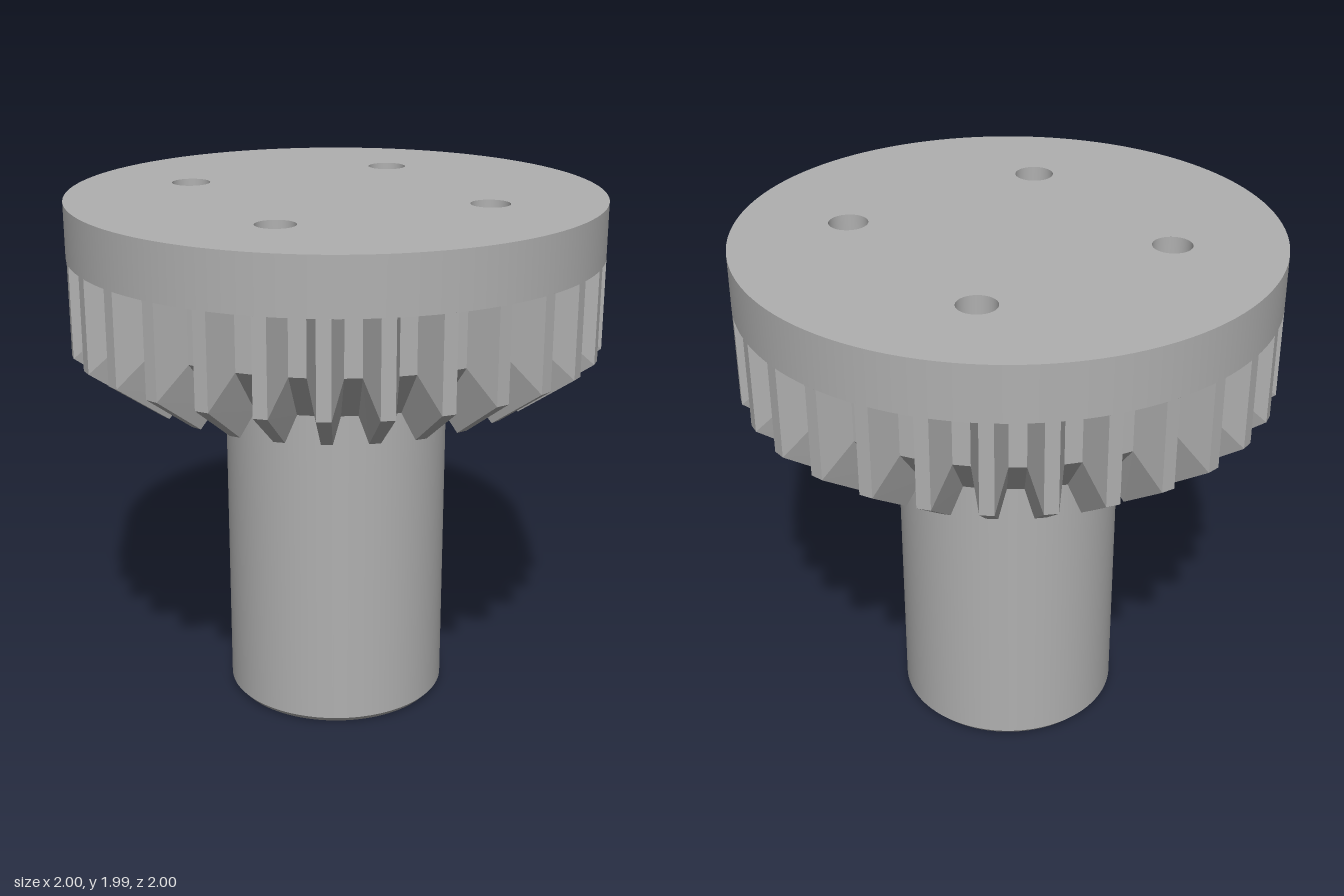
import * as THREE from 'three';

const TAU = Math.PI * 2;
const steel = new THREE.MeshStandardMaterial({ color: 0xb0b0b0, side: THREE.DoubleSide });
steel.name = 'steel grey';

function add(group, name, geometry) {
  const mesh = new THREE.Mesh(geometry, steel);
  mesh.name = name;
  group.add(mesh);
  return mesh;
}

// Open round wall from (rTop, yTop) down to (rBottom, yBottom)
function wall(rTop, yTop, rBottom, yBottom, x = 0, z = 0, segments = 120) {
  return new THREE.CylinderGeometry(rTop, rBottom, yTop - yBottom, segments, 1, true)
    .translate(x, (yTop + yBottom) / 2, z);
}

// Flat round face at height y with round holes [x, z, r]
function face(radius, y, holes, up, cx = 0, cz = 0) {
  const s = up ? -1 : 1;
  const shape = new THREE.Shape().absarc(cx, s * cz, radius, 0, TAU);
  for (const [x, z, r] of holes) {
    shape.holes.push(new THREE.Path().absarc(x, s * z, r, 0, TAU, true));
  }
  return new THREE.ShapeGeometry(shape, 60).rotateX((s * Math.PI) / 2).translate(0, y, 0);
}

// Four positions spread evenly on a circle
function fourAround(radius, turn = 0) {
  return [0, 1, 2, 3].map((i) => {
    const a = turn + (i * Math.PI) / 2;
    return [radius * Math.cos(a), radius * Math.sin(a)];
  });
}

// Bevel teeth: tip and root profiles as [radius, y, half angle of tooth]
function toothRing(count) {
  const tip = [[1, 1.78, 0.025], [1, 1.435, 0.025], [0.785, 1.28, 0.026], [0.72, 1.36, 0.063]];
  const root = [[0.88, 1.78, 0.07], [0.88, 1.545, 0.07], [0.72, 1.36, 0.063], [0.72, 1.36, 0.063]];
  const columns = [[root, -1], [tip, -1], [tip, 1], [root, 1]];
  const positions = [];
  const index = [];
  for (let k = 0; k < count; k++) {
    const middle = ((k + 0.5) * TAU) / count;
    for (const [profile, side] of columns) {
      for (const [r, y, half] of profile) {
        const a = middle + side * half;
        positions.push(r * Math.sin(a), y, r * Math.cos(a));
      }
    }
  }
  const total = count * 4;
  for (let c = 0; c < total; c++) {
    for (let r = 0; r < 3; r++) {
      const a = c * 4 + r;
      const d = ((c + 1) % total) * 4 + r;
      index.push(a, a + 1, d + 1, a, d + 1, d);
    }
  }
  const g = new THREE.BufferGeometry();
  g.setAttribute('position', new THREE.Float32BufferAttribute(positions, 3));
  g.setIndex(index);
  const flat = g.toNonIndexed();
  flat.computeVertexNormals();
  return flat;
}

export function createModel() {
  const model = new THREE.Group();
  model.name = 'bevelGearWithShaft';

  // Gear head: flat disc above a ring of bevel teeth
  const head = new THREE.Group();
  head.name = 'gearHead';
  model.add(head);
  const top = 1.987, under = 1.78, recess = 1.36;
  const bolts = fourAround(0.59);
  const boltR = 0.073, boreR = 0.128;
  add(head, 'discTop', face(1, top, bolts.map(([x, z]) => [x, z, boltR]), true));
  add(head, 'discRim', wall(1, top, 1, under));
  add(head, 'discUnderside', face(1, under, [[0, 0, 0.85]], false));
  add(head, 'teeth', toothRing(30));
  add(head, 'recessFloor', face(0.72, recess,
    [[0, 0, 0.44], ...bolts.map(([x, z]) => [x, z, boreR])], false));

  // Bolt holes, counterbored from below
  for (const [x, z] of bolts) {
    add(head, 'boltHole', wall(boltR, top, boltR, under, x, z, 48));
    add(head, 'counterbore', wall(boreR, under, boreR, recess, x, z, 48));
    add(head, 'counterboreSeat', face(boreR, under, [[x, z, boltR]], false, x, z));
  }

  // Shaft with collar and chamfered end
  const shaft = new THREE.Group();
  shaft.name = 'shaft';
  model.add(shaft);
  add(shaft, 'collar', wall(0.447, recess, 0.447, 1.285));
  add(shaft, 'collarUnderside', face(0.447, 1.285, [[0, 0, 0.42]], false));
  add(shaft, 'shaftBody', wall(0.425, 1.285, 0.425, 0.022));
  add(shaft, 'shaftChamfer', wall(0.425, 0.022, 0.405, 0));

  // Countersunk holes in the shaft end
  const endHoles = fourAround(0.258, 0.08);
  add(shaft, 'shaftEnd', face(0.405, 0, endHoles.map(([x, z]) => [x, z, 0.11]), false));
  for (const [x, z] of endHoles) {
    add(shaft, 'countersink', wall(0.088, 0.022, 0.11, 0, x, z, 48));
    add(shaft, 'endHole', wall(0.088, 0.45, 0.088, 0.022, x, z, 48));
    add(shaft, 'endHoleBottom', face(0.088, 0.45, [], false, x, z));
  }
  return model;
}
